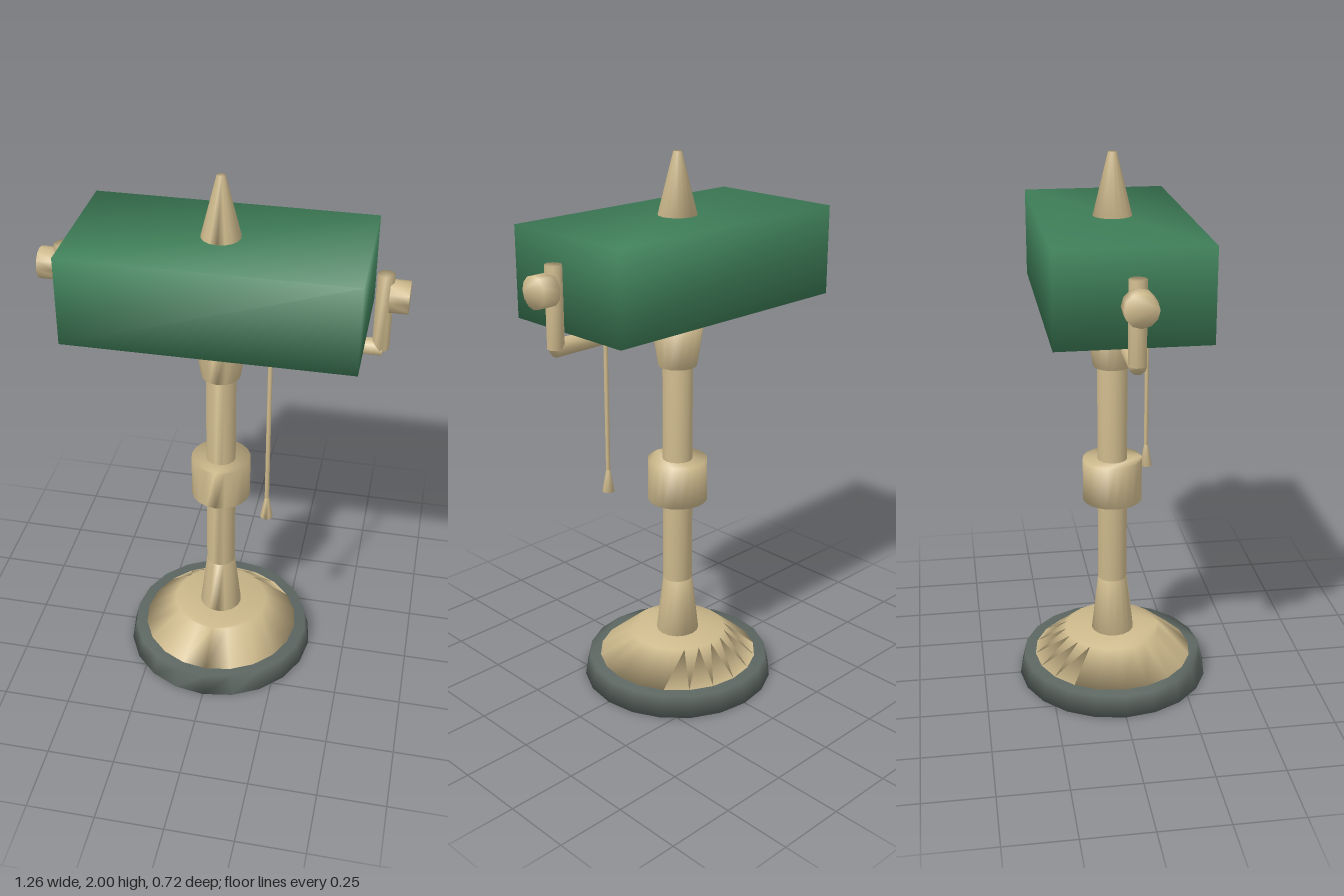
import * as THREE from 'three';
import { mergeVertices } from 'three/addons/utils/BufferGeometryUtils.js';

const brass = new THREE.MeshStandardMaterial({ color: 0xcdb98c });
brass.name = 'brass';
const green = new THREE.MeshStandardMaterial({ color: 0x3f7f59 });
green.name = 'shadeGreen';
const iron = new THREE.MeshStandardMaterial({ color: 0x5c6661 });
iron.name = 'darkIron';

// Closed frustum whose caps share the side vertices, so shading rolls over the rims
function frustum(rBottom, rTop, height, sides) {
  const pos = [], index = [];
  for (const [r, y] of [[rBottom, -height / 2], [rTop, height / 2]]) {
    for (let i = 0; i < sides; i++) {
      const a = (i / sides) * Math.PI * 2;
      pos.push(r * Math.sin(a), y, r * Math.cos(a));
    }
  }
  for (let i = 0; i < sides; i++) {
    const j = (i + 1) % sides;
    index.push(i, j, sides + j, i, sides + j, sides + i);
    if (i > 0 && j > 0) index.push(0, j, i, sides, sides + i, sides + j);
  }
  const g = new THREE.BufferGeometry();
  g.setAttribute('position', new THREE.Float32BufferAttribute(pos, 3));
  g.setIndex(index);
  g.computeVertexNormals();
  return g;
}

export function createModel() {
  const lamp = new THREE.Group();
  lamp.name = 'deskLamp';

  function add(name, geometry, material, x = 0, y = 0, z = 0) {
    const mesh = new THREE.Mesh(geometry, material);
    mesh.name = name;
    mesh.position.set(x, y, z);
    lamp.add(mesh);
    return mesh;
  }
  // Upright turned part between two heights
  const turned = (name, mat, y0, y1, r0, r1, sides = 16, x = 0, z = 0) =>
    add(name, frustum(r0, r1, y1 - y0, sides), mat, x, (y0 + y1) / 2, z);

  // Base and stem
  turned('base', iron, 0, 0.08, 0.36, 0.342, 20);
  turned('baseDome', brass, 0.08, 0.18, 0.3, 0.18, 20);
  turned('stemFoot', brass, 0.18, 0.4, 0.08, 0.055);
  turned('stem', brass, 0.38, 1.26, 0.055, 0.055);
  turned('collar', brass, 0.725, 0.885, 0.11, 0.11, 20);
  turned('cup', brass, 1.245, 1.405, 0.07, 0.095);

  // Yoke holding the shade
  add('crossbar', frustum(0.03, 0.03, 1.115, 10), brass, 0, 1.426, 0).rotation.z = Math.PI / 2;
  for (const side of [1, -1]) {
    const label = side > 0 ? 'left' : 'right';
    turned(label + 'Post', brass, 1.425, 1.703, 0.03, 0.03, 10, side * 0.55);
    add(label + 'Knob', frustum(0.056, 0.056, 0.065, 12), brass, side * 0.6, 1.625, 0)
      .rotation.z = Math.PI / 2;
  }

  // Shade with corner normals shared between its faces
  let shade = new THREE.BoxGeometry(1, 0.32, 0.52);
  shade.deleteAttribute('normal');
  shade.deleteAttribute('uv');
  shade = mergeVertices(shade);
  shade.computeVertexNormals();
  add('shade', shade, green, 0, 1.625, 0);
  turned('finial', brass, 1.78, 2, 0.07, 0.015);

  // Pull cord
  turned('pullCord', brass, 0.84, 1.448, 0.008, 0.008, 8, 0.2, 0.16);
  turned('pullBell', brass, 0.763, 0.848, 0.023, 0.008, 10, 0.2, 0.16);

  return lamp;
}
